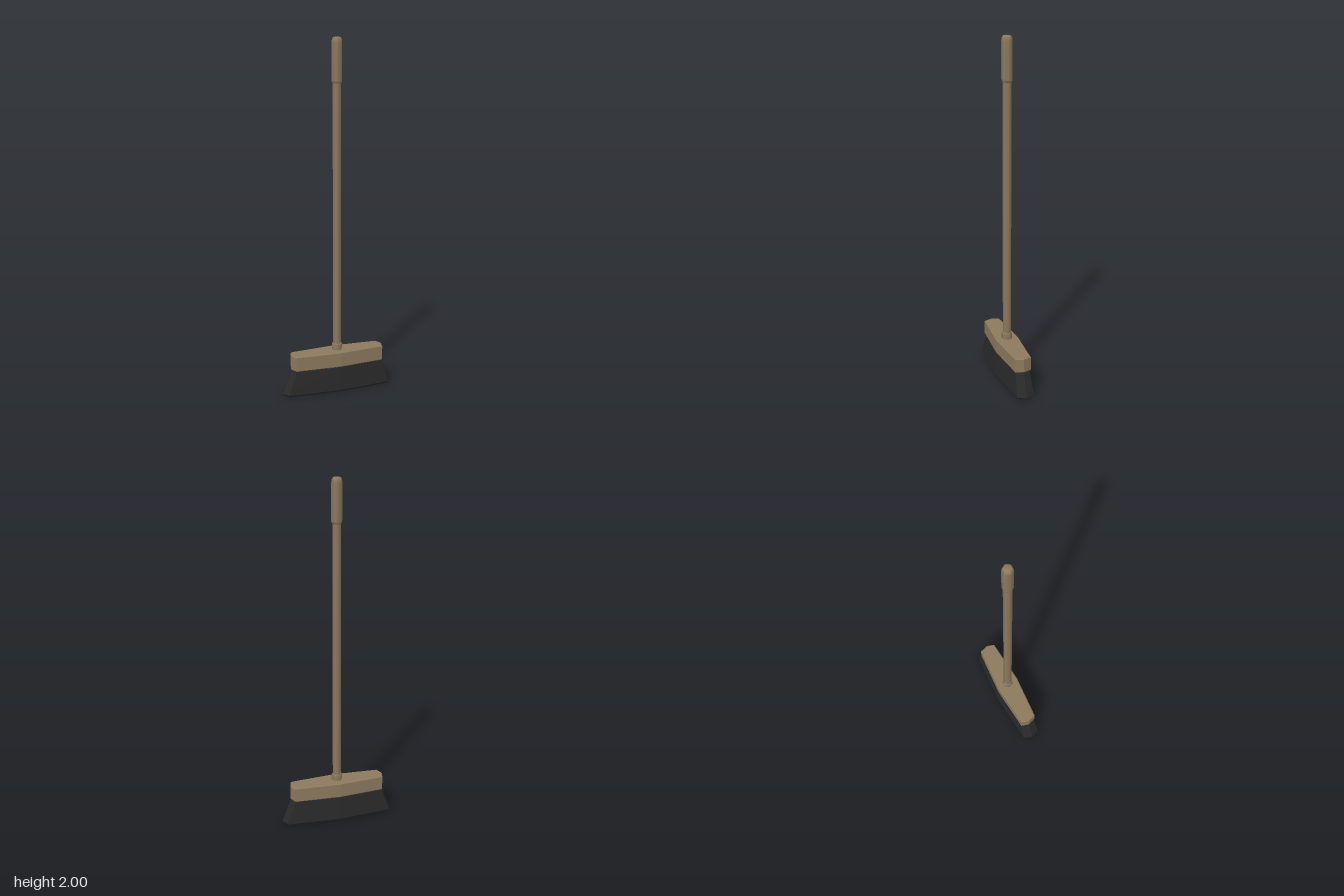
import * as THREE from 'three';

const wood = new THREE.MeshStandardMaterial({ color: 0x8c7a5e });
wood.name = 'wood';
const bristle = new THREE.MeshStandardMaterial({ color: 0x2a2a2a });
bristle.name = 'bristle';

// Eight-sided pointed outline: end tip, shoulders and middle
function outline({ y, tip, shoulder, end, mid }) {
  return [
    [tip, 0], [shoulder, end], [0, mid], [-shoulder, end],
    [-tip, 0], [-shoulder, -end], [0, -mid], [shoulder, -end],
  ].map(([x, z]) => new THREE.Vector3(x, y, z));
}

// Closed, flat-faced solid through rings ordered from bottom to top
function loft(sections) {
  const rings = sections.map(outline);
  const points = [];
  const n = rings[0].length;
  const first = rings[0], last = rings[rings.length - 1];
  const bottom = new THREE.Vector3(0, first[0].y, 0);
  const top = new THREE.Vector3(0, last[0].y, 0);
  for (let i = 0; i < n; i++) {
    const j = (i + 1) % n;
    for (let k = 0; k + 1 < rings.length; k++) {
      const a = rings[k], b = rings[k + 1];
      points.push(a[i], b[i], a[j], a[j], b[i], b[j]);
    }
    points.push(top, last[j], last[i], bottom, first[i], first[j]);
  }
  const geometry = new THREE.BufferGeometry().setFromPoints(points);
  geometry.computeVertexNormals();
  return geometry;
}

// Six-sided smooth turned part with corners on the x axis
function turned(profile) {
  const points = profile.map(([r, y]) => new THREE.Vector2(r, y));
  return new THREE.LatheGeometry(points, 6, Math.PI / 6);
}

export function createModel() {
  const group = new THREE.Group();
  group.name = 'broom';
  const add = (name, geometry, material) => {
    const mesh = new THREE.Mesh(geometry, material);
    mesh.name = name;
    group.add(mesh);
  };

  // Flared brush with a small chamfer at the floor
  add('bristles', loft([
    { y: 0, tip: 0.322, shoulder: 0.302, end: 0.045, mid: 0.068 },
    { y: 0.01, tip: 0.33, shoulder: 0.309, end: 0.05, mid: 0.073 },
    { y: 0.15, tip: 0.274, shoulder: 0.259, end: 0.042, mid: 0.062 },
  ]), bristle);

  // Block with a chamfered upper and lower rim
  add('block', loft([
    { y: 0.145, tip: 0.276, shoulder: 0.261, end: 0.043, mid: 0.063 },
    { y: 0.15, tip: 0.28, shoulder: 0.265, end: 0.047, mid: 0.067 },
    { y: 0.228, tip: 0.28, shoulder: 0.265, end: 0.047, mid: 0.067 },
    { y: 0.234, tip: 0.274, shoulder: 0.259, end: 0.042, mid: 0.061 },
  ]), wood);

  // Socket, shaft and rounded grip
  add('socket', turned([
    [0.031, 0.23], [0.031, 0.265], [0.028, 0.27], [0.02, 0.271],
  ]), wood);
  add('shaft', turned([[0.0245, 0.23], [0.0245, 1.77]]), wood);
  add('grip', turned([
    [0.02, 1.749], [0.027, 1.75], [0.031, 1.765], [0.031, 1.97],
    [0.029, 1.988], [0.022, 1.998], [0, 2],
  ]), wood);

  return group;
}
